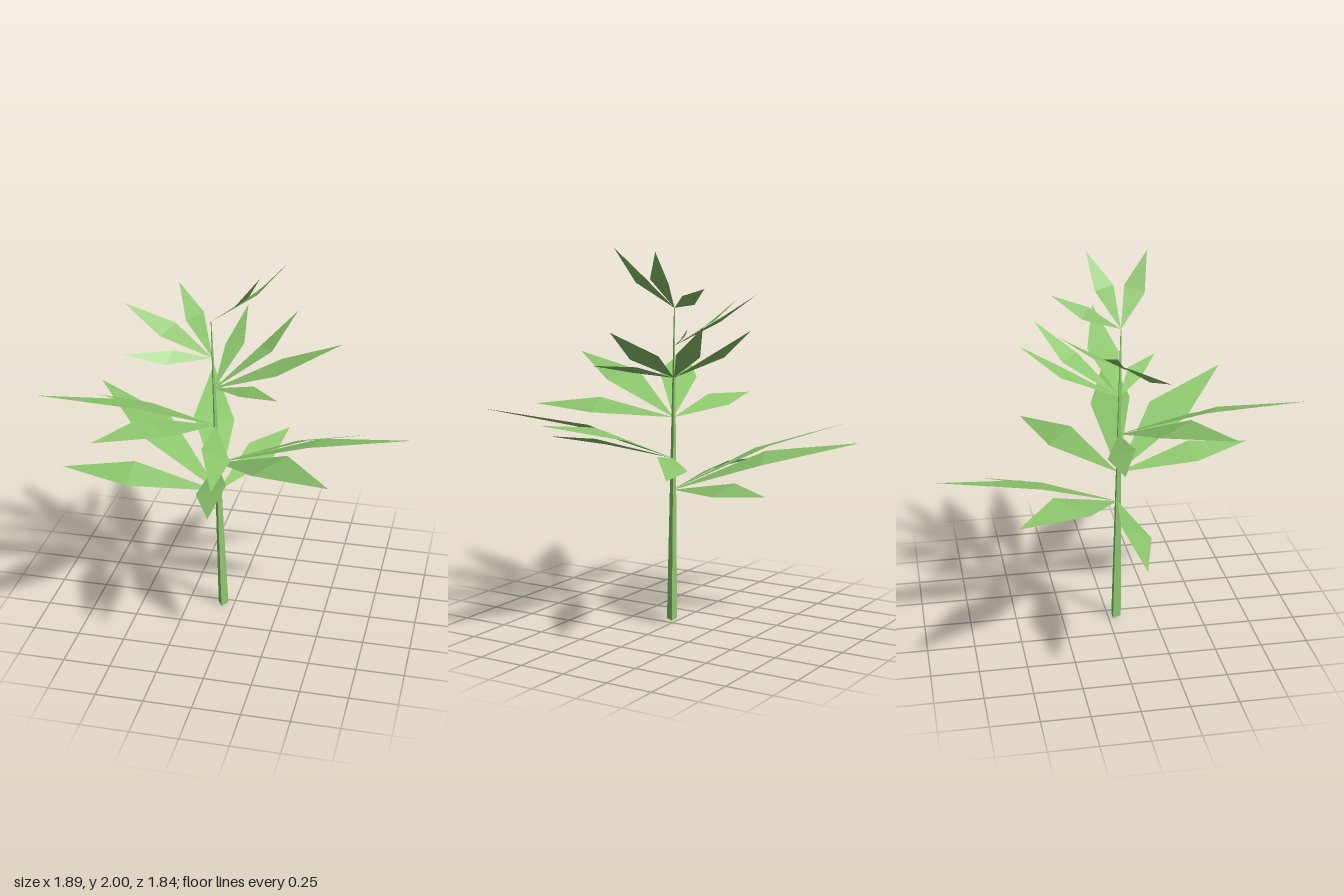
import * as THREE from 'three';

const STEM_HEIGHT = 1.68;
const leafGreen = new THREE.MeshStandardMaterial({ color: 0x8cc56c, flatShading: true, side: THREE.DoubleSide });
leafGreen.name = 'leaf green';

// Centre of the leaning stem at a given height
function stemPoint(y) {
  const t = y / STEM_HEIGHT;
  return new THREE.Vector3(-0.0625 - 0.0515 * t, y, 0.04 + 0.016 * t);
}

// Large leaves, as [degrees, distance, rise] from the node: tip and the two side corners
const largeLeaves = [
  [[-69.7, 0.74, 0.075], [-79.3, 0.43, 0.09], [-59, 0.43, 0.035]],
  [[-104.6, 1.0, 0.3], [-119, 0.495, 0.215], [-93, 0.515, 0.175]],
  [[-143.3, 1.035, 0.3], [-132.6, 0.53, 0.22], [-155.7, 0.55, 0.175]],
  [[-179.2, 0.872, 0.042], [-172, 0.485, 0.09], [-190, 0.49, 0.018]],
];
const largeWhorls = [
  { y: 0.71, turn: 0, scale: 1 },
  { y: 0.88, turn: 150, scale: 1 },
  { y: 1.1, turn: 257.5, scale: 0.92 },
];

// Small upper leaves: tip and the two side corners in model space
const smallWhorls = [
  { y: 1.31, leaves: [
    [[0.55, 1.6, 0.02], [0.235, 1.435, 0.11], [0.23, 1.46, -0.06]],
    [[0.26, 1.62, -0.335], [0.08, 1.45, -0.215], [0.165, 1.467, -0.125]],
    [[-0.03, 1.59, -0.45], [-0.11, 1.435, -0.25], [-0.005, 1.455, -0.23]],
    [[0.28, 1.395, 0.315], [0.07, 1.345, 0.2], [0.125, 1.383, 0.14]],
  ] },
  { y: 1.48, leaves: [
    [[-0.6, 1.7, -0.05], [-0.33, 1.605, -0.07], [-0.39, 1.565, 0.03]],
    [[-0.37, 1.745, -0.295], [-0.29, 1.6, -0.12], [-0.21, 1.635, -0.18]],
    [[-0.53, 1.53, 0.225], [-0.3, 1.522, 0.095], [-0.33, 1.468, 0.165]],
  ] },
  { y: 1.68, leaves: [
    [[0.175, 2.0, 0.245], [0.03, 1.815, 0.205], [0.09, 1.845, 0.11]],
    [[0.26, 1.985, -0.06], [0.12, 1.84, 0.06], [0.1, 1.817, -0.04]],
    [[0.125, 1.8, -0.265], [0.04, 1.755, -0.085], [-0.015, 1.708, -0.125]],
  ] },
];

// Two triangles folded across the widest line, upper side facing up
function makeLeaf(base, tip, a, b) {
  const up = (b.x - a.x) * (base.z - a.z) - (b.z - a.z) * (base.x - a.x) < 0;
  const [l, r] = up ? [a, b] : [b, a];
  const geometry = new THREE.BufferGeometry().setFromPoints([base, l, r, tip, r, l]);
  geometry.computeVertexNormals();
  const leaf = new THREE.Mesh(geometry, leafGreen);
  leaf.name = 'leaf';
  return leaf;
}

// Three-sided tapering stem, sheared to lean
function makeStem() {
  const geometry = new THREE.CylinderGeometry(0.003, 0.032, STEM_HEIGHT, 3, 1);
  geometry.translate(0, STEM_HEIGHT / 2, 0);
  const p = geometry.attributes.position;
  for (let i = 0; i < p.count; i++) {
    const c = stemPoint(p.getY(i));
    p.setX(i, p.getX(i) + c.x);
    p.setZ(i, p.getZ(i) + c.z);
  }
  geometry.computeVertexNormals();
  const stem = new THREE.Mesh(geometry, leafGreen);
  stem.name = 'stem';
  return stem;
}

export function createModel() {
  const plant = new THREE.Group();
  plant.name = 'plant';
  plant.add(makeStem());

  // Lower whorls repeat one set of leaves, turned about the stem
  for (const { y, turn, scale } of largeWhorls) {
    const whorl = new THREE.Group();
    whorl.name = 'lowerWhorl';
    const base = stemPoint(y);
    for (const corners of largeLeaves) {
      const points = corners.map(([degrees, distance, rise]) => {
        const angle = THREE.MathUtils.degToRad(degrees + turn);
        return new THREE.Vector3(Math.cos(angle) * distance, rise, Math.sin(angle) * distance)
          .multiplyScalar(scale).add(base);
      });
      whorl.add(makeLeaf(base, ...points));
    }
    plant.add(whorl);
  }

  // Upper whorls
  for (const { y, leaves } of smallWhorls) {
    const whorl = new THREE.Group();
    whorl.name = 'upperWhorl';
    for (const corners of leaves) {
      whorl.add(makeLeaf(stemPoint(y), ...corners.map((c) => new THREE.Vector3(...c))));
    }
    plant.add(whorl);
  }
  return plant;
}
